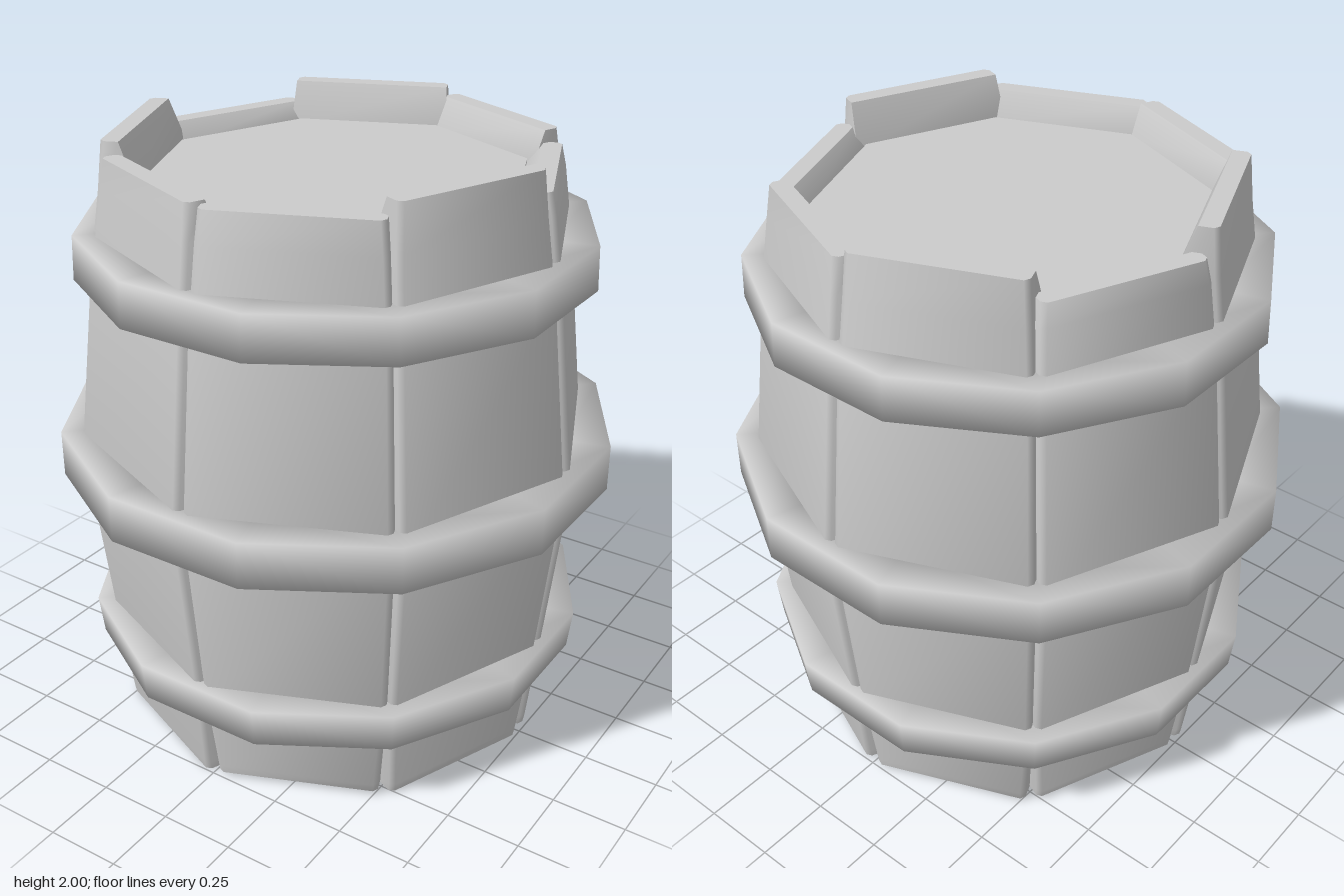
import * as THREE from 'three';
import { toCreasedNormals } from 'three/addons/utils/BufferGeometryUtils.js';

const material = new THREE.MeshStandardMaterial({ color: 0xcccccc });

// Bowed plank built from six-point cross-sections; the inner edge is bevelled at the rim.
function staveGeometry(bottom, top) {
  const bevel = 0.015;
  // [y, outer distance, inner distance, half width]
  const levels = [
    [bottom, 0.7, 0.61, 0.265],
    [bottom + 0.03, 0.705, 0.57, 0.267],
    [0.35, 0.737, 0.6, 0.292],
    [0.97, 0.8, 0.66, 0.316],
    [1.6, 0.732, 0.6, 0.29],
    [1.85, 0.696, 0.565, 0.272],
    [top, 0.68, 0.62, 0.262],
  ];
  const positions = [];
  const index = [];
  for (const [y, out, inn, w] of levels) {
    const outline = [
      [-w, inn], [-w, out - bevel], [-w + bevel, out],
      [w - bevel, out], [w, out - bevel], [w, inn],
    ];
    for (const [x, z] of outline) positions.push(x, y, z);
  }
  const n = 6;
  for (let l = 0; l < levels.length - 1; l++) {
    for (let i = 0; i < n; i++) {
      const a = l * n + i, b = l * n + (i + 1) % n;
      index.push(a, b, b + n, a, b + n, a + n);
    }
  }
  const last = (levels.length - 1) * n;
  for (let i = 1; i < n - 1; i++) {
    index.push(0, i + 1, i);
    index.push(last, last + i, last + i + 1);
  }
  const geometry = new THREE.BufferGeometry();
  geometry.setAttribute('position', new THREE.Float32BufferAttribute(positions, 3));
  geometry.setIndex(index);
  return toCreasedNormals(geometry, THREE.MathUtils.degToRad(50));
}

// Twelve-sided band with softly shaded edges; bottom and top give the face distances.
function hoopGeometry(y0, y1, face0, face1) {
  const k = 1 / Math.cos(Math.PI / 12);
  const inner = Math.min(face0, face1) - 0.12;
  const profile = [
    [inner, y0], [face0 * k, y0], [face1 * k, y1], [inner, y1], [inner, y0],
  ].map(([r, y]) => new THREE.Vector2(r, y));
  return new THREE.LatheGeometry(profile, 12, Math.PI / 12);
}

export function createModel() {
  const model = new THREE.Group();
  model.name = 'barrel';
  const add = (geometry, name, parent = model) => {
    const mesh = new THREE.Mesh(geometry, material);
    mesh.name = name;
    parent.add(mesh);
    return mesh;
  };

  // Staves, counted from the front around towards +x, each cut to its own height
  const staves = new THREE.Group();
  staves.name = 'staves';
  model.add(staves);
  const tops = [1.95, 2, 1.92, 1.96, 1.99, 1.92, 2, 1.96];
  const bottoms = [0.015, 0.005, 0.015, 0.01, 0.01, 0.015, 0.01, 0];
  tops.forEach((top, i) => {
    const stave = add(staveGeometry(bottoms[i], top), `stave${i + 1}`, staves);
    stave.rotation.y = (i + 0.5) * Math.PI / 4;
  });

  // Octagonal core closing both ends
  const core = add(new THREE.CylinderGeometry(0.62, 0.62, 1.84, 8).toNonIndexed(), 'lidAndBase');
  core.geometry.computeVertexNormals();
  core.position.y = 0.95;

  // Three hoops
  add(hoopGeometry(0.255, 0.39, 0.805, 0.82), 'lowerHoop');
  add(hoopGeometry(0.89, 1.045, 0.89, 0.89), 'middleHoop');
  add(hoopGeometry(1.57, 1.715, 0.81, 0.805), 'upperHoop');

  return model;
}
